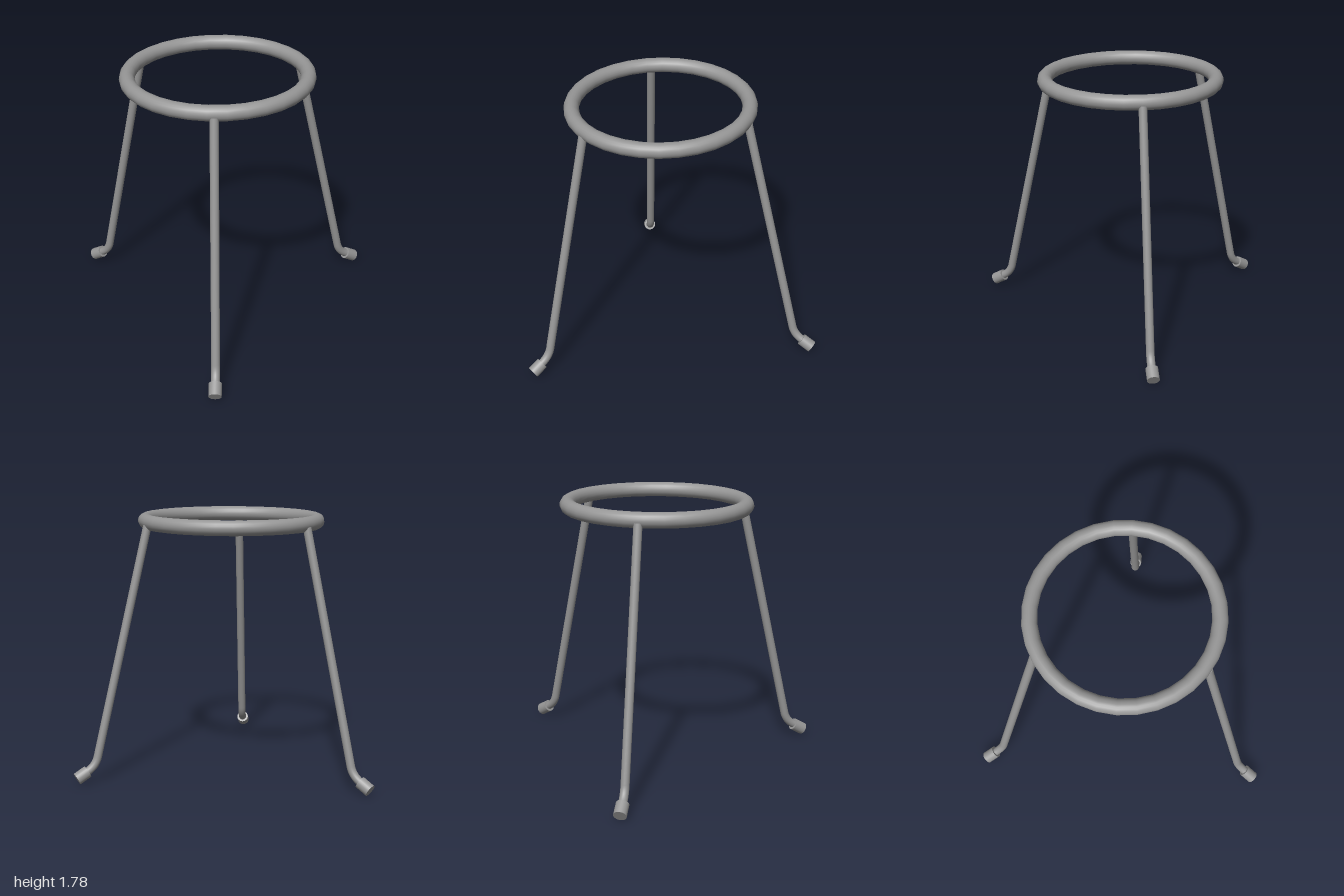
import * as THREE from 'three';

const material = new THREE.MeshStandardMaterial({ color: 0x969696 });

function part(name, geometry) {
  const mesh = new THREE.Mesh(geometry, material);
  mesh.name = name;
  return mesh;
}

// Closed cylinder running from a to b
function rod(name, a, b, radius, sides) {
  const dir = b.clone().sub(a);
  const mesh = part(name, new THREE.CylinderGeometry(radius, radius, dir.length(), sides));
  mesh.position.copy(a).add(b).multiplyScalar(0.5);
  mesh.quaternion.setFromUnitVectors(new THREE.Vector3(0, 1, 0), dir.normalize());
  return mesh;
}

// One leg in the xy plane, measured outwards from the ring's axis
function makeLeg(name) {
  const leg = new THREE.Group();
  leg.name = name;
  const radius = 0.028;
  const top = new THREE.Vector3(0.605, 1.715, 0);
  const bendStart = new THREE.Vector3(0.973, 0.18, 0);
  const bendCorner = new THREE.Vector3(0.989, 0.113, 0);
  const bendEnd = new THREE.Vector3(1.055, 0.079, 0);

  leg.add(rod('legShaft', top, bendStart, radius, 20));

  // Outward bend at the bottom
  const bend = new THREE.QuadraticBezierCurve3(bendStart, bendCorner, bendEnd);
  leg.add(part('legBend', new THREE.TubeGeometry(bend, 10, radius, 20)));

  // Wider foot cap, tilted 30 degrees downwards
  const capStart = new THREE.Vector3(1.045, 0.083, 0);
  const capEnd = new THREE.Vector3(1.121, 0.039, 0);
  leg.add(rod('footCap', capStart, capEnd, 0.042, 24));
  return leg;
}

export function createModel() {
  const stand = new THREE.Group();
  stand.name = 'tripodStand';
  stand.position.x = -0.256;

  // Top ring
  const ring = part('topRing', new THREE.TorusGeometry(0.581, 0.05, 20, 32));
  ring.rotation.x = Math.PI / 2;
  ring.position.y = 1.732;
  stand.add(ring);

  // Three legs, evenly spaced
  ['leftLeg', 'backRightLeg', 'frontRightLeg'].forEach((name, i) => {
    const leg = makeLeg(name);
    leg.rotation.y = (i * Math.PI * 2) / 3;
    stand.add(leg);
  });

  const model = new THREE.Group();
  model.name = 'model';
  model.add(stand);
  return model;
}
